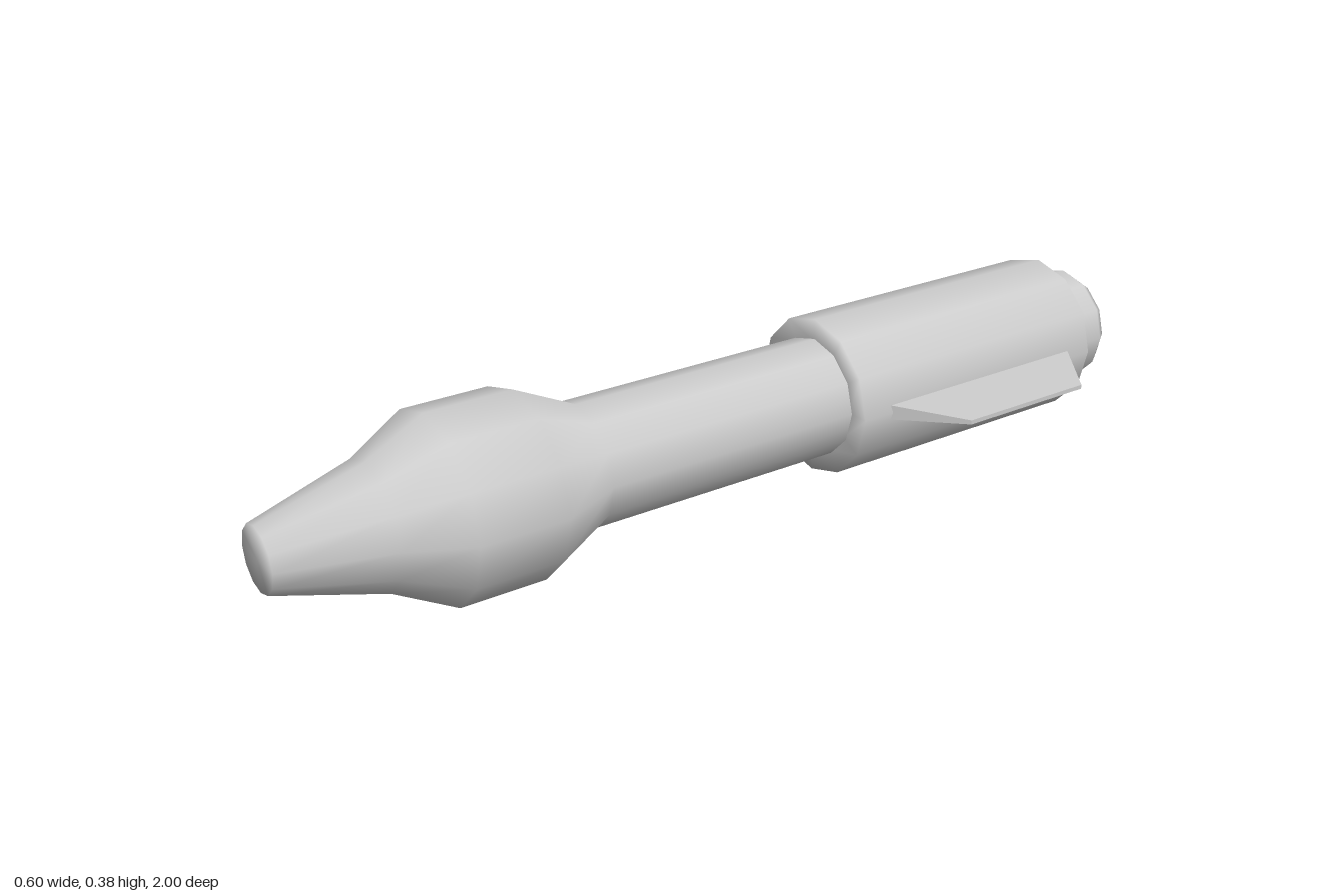
import * as THREE from 'three';

const AXIS_Y = 0.192;
const SIDES = 12;

// Turned part along z: profile of [radius, z] from tail to nose
function turned(name, profile, material) {
  const points = profile.map(([r, z]) => new THREE.Vector2(r, z));
  const geometry = new THREE.LatheGeometry(points, SIDES);
  geometry.rotateX(Math.PI / 2);
  const mesh = new THREE.Mesh(geometry, material);
  mesh.name = name;
  return mesh;
}

// Swept fin on +x, tapering in chord and thickness from root to tip
function finGeometry() {
  const geometry = new THREE.BoxGeometry(1, 1, 1);
  const p = geometry.attributes.position;
  for (let i = 0; i < p.count; i++) {
    const tip = p.getX(i) > 0;
    const halfThickness = tip ? 0.0045 : 0.017;
    const halfChord = tip ? 0.16 : 0.27;
    p.setXYZ(
      i,
      tip ? 0.302 : 0.15,
      Math.sign(p.getY(i)) * halfThickness,
      -0.568 + Math.sign(p.getZ(i)) * halfChord
    );
  }
  geometry.computeVertexNormals();
  return geometry;
}

export function createModel() {
  const model = new THREE.Group();
  model.name = 'missile';
  const grey = new THREE.MeshStandardMaterial({ color: 0xcccccc });

  // Body: hollow nozzle, bevelled tail, shaft, bulged warhead and blunt nose
  const body = turned('body', [
    [0, -0.9], [0.075, -0.9], [0.085, -1], [0.11, -1], [0.127, -0.975],
    [0.127, 0.345], [0.191, 0.48], [0.191, 0.665], [0.127, 0.785],
    [0.066, 1], [0, 1],
  ], grey);

  // Wider sleeve around the rear of the shaft
  const sleeve = turned('sleeve', [
    [0.12, -0.89], [0.17, -0.89], [0.17, -0.238], [0.12, -0.238],
  ], grey);
  model.add(body, sleeve);

  // Pair of side fins
  const fin = finGeometry();
  for (const [name, turn] of [['leftFin', 0], ['rightFin', Math.PI]]) {
    const mesh = new THREE.Mesh(fin, grey);
    mesh.name = name;
    mesh.rotation.z = turn;
    model.add(mesh);
  }

  for (const part of model.children) part.position.y = AXIS_Y;
  return model;
}
